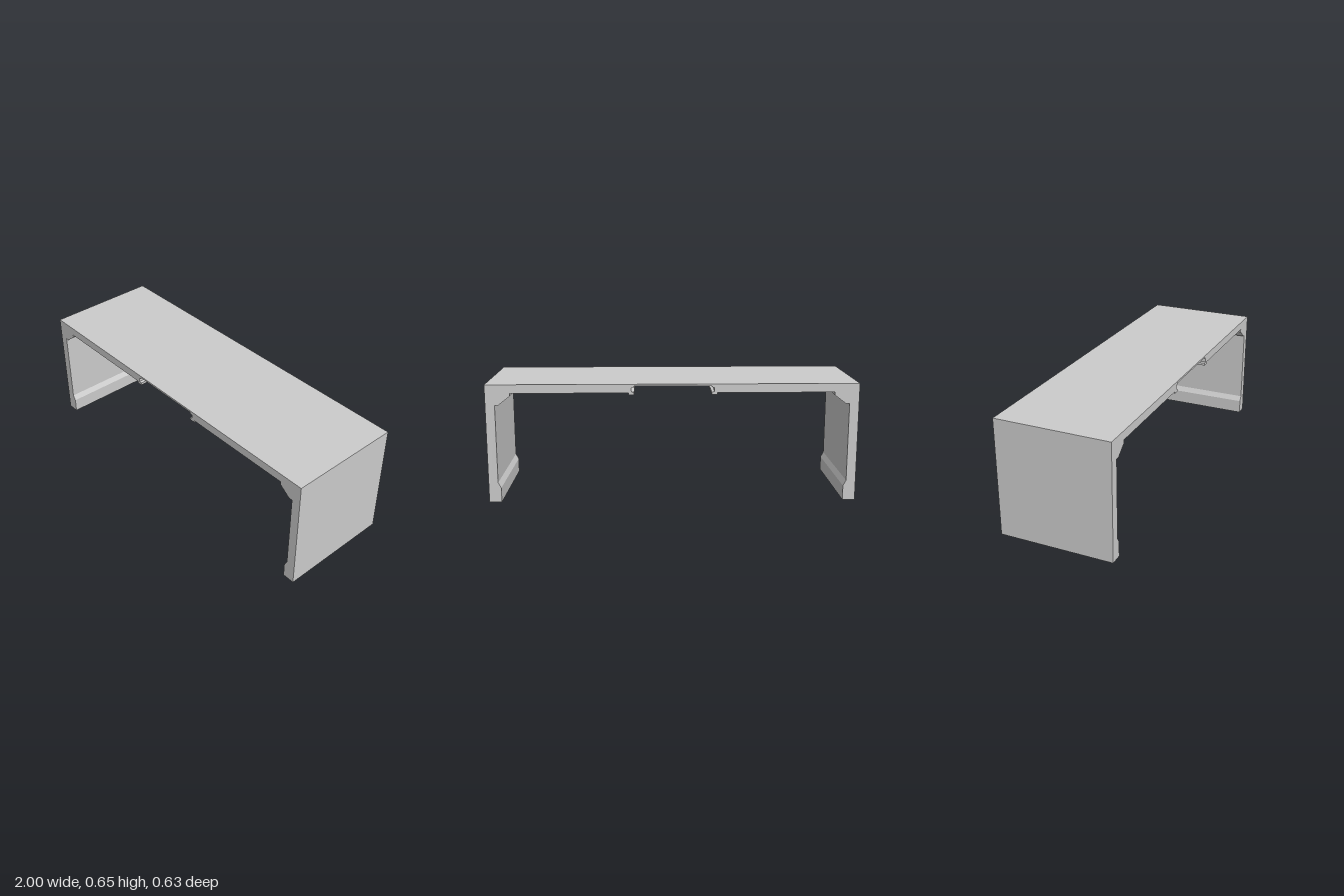
import * as THREE from 'three';

const DEPTH = 0.63;
const TOP = 0.648;

// Inner outline of the +x half, from the foot up to the middle of the ceiling
const INNER = [
  [0.933, 0], [0.933, 0.08], [0.949, 0.11],                    // thickened foot
  [0.949, 0.538], [0.929, 0.538], [0.868, 0.585], [0.868, 0.601], // corner gusset
  [0.238, 0.601], [0.238, 0.59], [0.207, 0.59], [0.207, 0.604], // rail lip
  [0.222, 0.607], [0.222, 0.628], [0.207, 0.632], [0.207, 0.638], // rail groove and recess
];

export function createModel() {
  const group = new THREE.Group();
  group.name = 'portalFrame';

  // Mirror the half outline and close it over the outside faces
  const mirrored = INNER.map(([x, y]) => [-x, y]).reverse();
  const outline = [[-1, 0], [-1, TOP], [1, TOP], [1, 0], ...INNER, ...mirrored];
  const shape = new THREE.Shape(outline.map(([x, y]) => new THREE.Vector2(x, y)));

  // One constant section: two walls, gussets, roof slab and rails
  const geometry = new THREE.ExtrudeGeometry(shape, { depth: DEPTH, bevelEnabled: false });
  geometry.translate(0, 0, -DEPTH / 2);
  const frame = new THREE.Mesh(
    geometry,
    new THREE.MeshStandardMaterial({ color: 0xcccccc, flatShading: true })
  );
  frame.name = 'frameSection';
  group.add(frame);
  return group;
}
